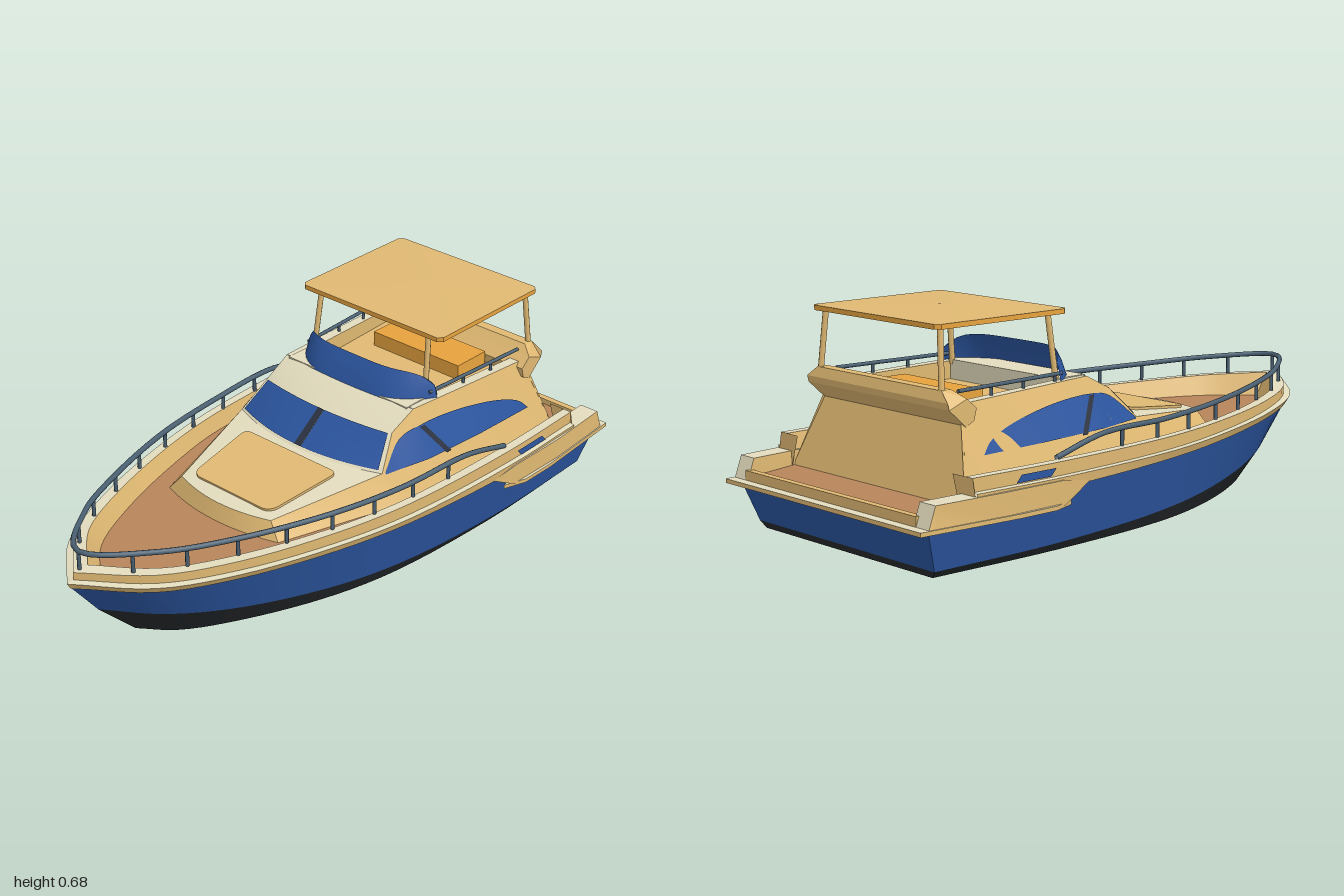
import * as THREE from 'three';
import { toCreasedNormals } from 'three/addons/utils/BufferGeometryUtils.js';

const V = (x, y, z) => new THREE.Vector3(x, y, z);
const paint = (name, color) => new THREE.MeshStandardMaterial({ name, color, side: THREE.DoubleSide });
const lerp = THREE.MathUtils.lerp;

export function createModel() {
  const model = new THREE.Group();
  model.name = 'motorYacht';
  const blue = paint('blue', 0x2b559f), black = paint('bootBlack', 0x24282b);
  const tan = paint('tan', 0xdfb872), cream = paint('cream', 0xe2dbbd);
  const teak = paint('teak', 0xb7845a), orange = paint('orange', 0xe6a23e);
  const steel = paint('railSteel', 0x4a6072), dark = paint('charcoal', 0x2b3140);

  const add = (name, mat, geo) => {
    const m = new THREE.Mesh(geo, mat);
    m.name = name;
    model.add(m);
    return m;
  };
  // Surface through rows of points
  const grid = (name, mat, rows) => {
    const n = rows[0].length, idx = [];
    for (let r = 0; r < rows.length - 1; r++)
      for (let c = 0; c < n - 1; c++) {
        const a = r * n + c, b = a + n;
        idx.push(a, b, a + 1, a + 1, b, b + 1);
      }
    const g = new THREE.BufferGeometry().setFromPoints(rows.flat());
    g.setIndex(idx);
    return add(name, mat, toCreasedNormals(g, 0.45));
  };
  const flip = p => V(-p.x, p.y, p.z);
  const pair = (name, mat, rows) => {
    grid(name + 'Left', mat, rows);
    grid(name + 'Right', mat, rows.map(r => r.map(flip).reverse()));
  };
  const line = pts => new THREE.CatmullRomCurve3(pts.map(p => V(...p))).getPoints(30);
  const rod = (name, mat, a, b, r) => {
    const d = b.clone().sub(a), m = add(name, mat, new THREE.CylinderGeometry(r, r, d.length(), 8));
    m.position.copy(a).addScaledVector(d, 0.5);
    m.quaternion.setFromUnitVectors(V(0, 1, 0), d.normalize());
  };
  const box = (name, mat, w, h, d, x, y, z) =>
    add(name, mat, new THREE.BoxGeometry(w, h, d)).position.set(x, y, z);

  // Hull lines from bow to stern, left side
  const keel = line([[0, 0, .75], [.1, 0, .67], [.2, 0, .51], [.31, 0, .25], [.37, 0, 0], [.4, 0, -.45], [.39, 0, -.9]]);
  const boot = line([[0, .14, .89], [.13, .118, .76], [.235, .09, .57], [.335, .06, .28], [.392, .042, 0], [.421, .027, -.45], [.41, .022, -.91]]);
  const sheer = line([[0, .262, .985], [.17, .245, .82], [.28, .232, .6], [.38, .22, .28], [.43, .21, 0], [.46, .2, -.45], [.44, .15, -.955]]);
  const low = line([[0, .262, .987], [.175, .245, .82], [.285, .232, .6], [.385, .22, .28], [.435, .21, 0], [.465, .2, -.45], [.46, .2, -.8]]);
  const rub = line([[0, .283, 1], [.185, .268, .83], [.3, .255, .6], [.395, .243, .28], [.445, .235, 0], [.468, .23, -.45], [.462, .23, -.8]]);
  const top = line([[0, .31, .975], [.172, .298, .81], [.283, .288, .59], [.378, .28, .28], [.428, .275, 0], [.452, .272, -.45], [.445, .272, -.8]]);
  const inner = line([[0, .31, .92], [.15, .298, .78], [.255, .288, .57], [.35, .28, .27], [.4, .275, 0], [.42, .272, -.45], [.415, .272, -.8]]);
  const deckPts = [[0, .235, .87], [.135, .232, .75], [.235, .23, .55], [.33, .225, .26], [.385, .22, 0], [.4, .2, -.45]];
  const deck = line([...deckPts, [.39, .165, -.96]]);
  const foot = line([...deckPts, [.397, .178, -.8]]);
  const ledge = top.map((p, i) => V(p.x, rub[i].y + .002, p.z));
  const end = a => a[a.length - 1];

  pair('bootStripe', black, [keel, boot]);
  pair('hullSide', blue, [boot, sheer]);
  grid('transomBoot', black, [[end(keel), flip(end(keel))], [end(boot), flip(end(boot))]]);
  grid('transom', blue, [[end(boot), flip(end(boot))], [end(sheer), flip(end(sheer))]]);
  pair('bulwark', tan, [low, rub]);
  pair('rubLedge', cream, [rub, ledge]);
  pair('bulwarkUpper', tan, [ledge, top]);
  pair('gunwale', cream, [top, inner]);
  pair('bulwarkInside', tan, [inner, foot]);
  pair('bulwarkEnd', tan, [[end(top), V(.36, .272, -.8)], [end(low), V(.39, .175, -.8)]]);
  grid('deck', teak, [deck, deck.map(flip)]);

  // Stern quarters, strake and sill
  const qz = [-.38, -.48, -.7, -.94, -.965];
  const run = (xs, ys) => qz.map((z, i) => V(xs[i], ys[i], z));
  const qBot = run([.463, .472, .474, .458, .456], [.2, .148, .148, .148, .15]);
  const qTop = run([.463, .472, .472, .455, .455], [.205, .222, .222, .22, .152]);
  const qIn = run([.41, .405, .4, .388, .388], [.205, .222, .222, .22, .152]);
  const qDeck = run([.41, .4, .397, .388, .388], [.2, .19, .18, .16, .15]);
  pair('quarterSide', tan, [qBot, qTop]);
  pair('quarterTop', cream, [qTop, qIn]);
  pair('quarterInside', tan, [qIn, qDeck]);

  const strake = new THREE.Shape([[.455, -.44], [.482, -.52], [.482, -.65], [.458, -.995], [-.458, -.995], [-.482, -.65], [-.482, -.52], [-.455, -.44],
    [-.44, -.5], [-.43, -.94], [.43, -.94], [.44, -.5]].map(p => new THREE.Vector2(...p)));
  const strakeGeo = new THREE.ExtrudeGeometry(strake, { depth: .013, bevelEnabled: false });
  add('strake', [cream, tan], strakeGeo.rotateX(Math.PI / 2).translate(0, .155, 0));
  box('sternSill', tan, .8, .033, .022, 0, .168, -.953);

  // Cabin stations: edge z, forward bow of the centre, base half width, top half width, top y, base y
  const S = [[.36, .035, .235, .19, .28, .225], [-.02, .063, .35, .3, .32, .218], [-.105, .025, .372, .264, .415, .213],
    [-.2, .02, .385, .268, .462, .209], [-.45, 0, .4, .285, .455, .198], [-.72, 0, .4, .3, .447, .177]];
  const station = (i, v) => S[i].map((a, k) => lerp(a, S[Math.min(i + 1, 5)][k], v));
  const roof = (i, v, s) => {
    const [z, dz, , w, y] = station(i, v);
    return V(w * s, y, z + dz * (1 - s * s));
  };
  const wall = (z, y, out) => {
    let i = 0;
    while (i < 4 && z < S[i + 1][0]) i++;
    const [, , wb, wt, yt, yb] = station(i, (z - S[i][0]) / (S[i + 1][0] - S[i][0]));
    return V(lerp(wb, wt, (y - yb) / (yt - yb)) + out, y, z);
  };
  const span = (a, b, n) => Array.from({ length: n + 1 }, (_, i) => lerp(a, b, i / n));
  const across = span(-1, 1, 12);
  grid('cabinRoof', cream, [0, 1, 2, 3].map(i => across.map(s => roof(i, 0, s))));
  grid('cabinFront', tan, [across.map(s => roof(0, 0, s)),
    across.map(s => V(s * .235, .225, .375 + .04 * (1 - s * s)))]);
  pair('cabinSide', tan, [S.map(([z, , wb, , , yb], i) => V(wb, yb, i === 5 ? -.79 : i === 0 ? .375 : z)),
    S.map((s, i) => roof(i, 0, 1))]);
  grid('cabinBack', tan, [[V(-.4, .177, -.79), V(.4, .177, -.79)], [V(-.318, .4, -.722), V(.318, .4, -.722)]]);

  // Windscreen panes and centre post
  const screen = (name, mat, a, b, lift) => grid(name, mat, span(.06, .96, 4).map(v =>
    span(a, b, 6).map(s => roof(1, v, s).add(V(0, lift, lift)))));
  screen('windscreenLeft', blue, .04, .96, .003);
  screen('windscreenRight', blue, -.96, -.04, .003);
  screen('windscreenPost', dark, -.045, .045, .005);

  // Arched side windows with a slanted post
  const arch = new THREE.CatmullRomCurve3([[-.03, .322], [-.12, .396], [-.2, .413], [-.4, .402], [-.58, .365], [-.65, .335], [-.68, .306]]
    .map(([z, y]) => V(0, y, z))).getPoints(24);
  pair('sideWindow', blue, span(0, 1, 4).map(t => arch.map(p =>
    wall(p.z, lerp(lerp(.305, .316, (p.z + .68) / .65), p.y, t), .004))));
  pair('sideWindowPost', dark, span(0, 1, 4).map(t =>
    [0, .022].map(d => wall(lerp(-.295, -.22, t) + d, lerp(.307, .41, t), .007))));
  pair('hullWindow', blue, [[V(.458, .236, -.52), V(.456, .236, -.65)], [V(.458, .258, -.5), V(.456, .258, -.63)]]);

  // Sun pad on the foredeck
  const pad = new THREE.Shape();
  pad.moveTo(-.17, .07).lineTo(.17, .07).quadraticCurveTo(.195, .07, .192, .1).lineTo(.168, .31)
    .quadraticCurveTo(.16, .34, .13, .342).lineTo(-.13, .342).quadraticCurveTo(-.16, .34, -.168, .31)
    .lineTo(-.192, .1).quadraticCurveTo(-.195, .07, -.17, .07);
  const padMesh = add('sunPad', tan, new THREE.ExtrudeGeometry(pad, { depth: .009, bevelEnabled: false }).rotateX(Math.PI / 2));
  padMesh.rotation.x = .112;
  padMesh.position.y = .33;

  // Flybridge well, dash, seat and aft coaming
  const rim = [3, 4, 5].map(i => roof(i, 0, 1));
  const rimIn = rim.map(p => V(p.x - .035, p.y, p.z));
  pair('coamingTop', cream, [rim, rimIn]);
  pair('coamingInside', tan, [rimIn, rimIn.map(p => V(p.x, .4, p.z))]);
  grid('bridgeFloor', tan, [[V(-.265, .402, -.2), V(.265, .402, -.2)], [V(-.265, .402, -.73), V(.265, .402, -.73)]]);
  box('dash', cream, .5, .066, .11, 0, .431, -.245);
  box('bridgeSeat', orange, .36, .05, .14, 0, .427, -.6);
  const aft = new THREE.Shape([[.68, .435], [.715, .465], [.74, .49], [.775, .49], [.785, .46], [.78, .44], [.72, .385], [.69, .4]]
    .map(p => new THREE.Vector2(...p)));
  const aftGeo = new THREE.ExtrudeGeometry(aft, { depth: .65, bevelEnabled: false }).rotateY(Math.PI / 2).translate(-.325, 0, 0);
  const ap = aftGeo.attributes.position;
  for (let i = 0; i < ap.count; i++) if (ap.getY(i) > .48) ap.setX(i, ap.getX(i) * .88);
  aftGeo.computeVertexNormals();
  add('aftCoaming', tan, aftGeo);

  // Wrapped flybridge windscreen
  const hoop = (w, y, z, back, drop) => span(-1, 1, 24).map(s =>
    V(w * s, y - drop * s ** 10, z - back * s ** 4));
  grid('bridgeWindscreen', blue, [hoop(.272, .46, -.18, .13, 0), hoop(.263, .505, -.2, .11, .006), hoop(.25, .546, -.23, .075, .035)]);

  // Canopy with crowned top on four poles
  const c = new THREE.Shape([[-.29, -.31], [-.275, -.295], [.275, -.295], [.29, -.31], [.29, -.775], [.275, -.79], [-.275, -.79], [-.29, -.775]]
    .map(p => new THREE.Vector2(...p)));
  add('canopy', [tan, orange], new THREE.ExtrudeGeometry(c, { depth: .015, bevelEnabled: false })
    .rotateX(Math.PI / 2).translate(0, .676, 0));
  grid('canopyTop', tan, span(-1, 1, 8).map(u => span(-1, 1, 8).map(s =>
    V(s * .284, .6765 + .007 * (1 - Math.max(Math.abs(s), Math.abs(u))), -.5425 + u * .242))));
  for (const k of [1, -1]) {
    rod('frontPole', tan, V(k * .236, .45, -.295), V(k * .224, .665, -.318), .009);
    rod('rearPole', tan, V(k * .282, .45, -.77), V(k * .262, .665, -.757), .009);
    // Flybridge side rail
    rod('bridgeRail', steel, V(k * .256, .48, -.29), V(k * .28, .48, -.71), .006);
    for (const z of [-.32, -.45, -.58])
      rod('bridgeRailPost', steel, V(k * (.239 - z * .057), .448, z), V(k * (.239 - z * .057), .48, z), .005);
  }

  // Deck rail with posts
  const half = [[.155, .36, .79], [.257, .348, .58], [.355, .336, .28], [.403, .326, 0], [.42, .322, -.28], [.425, .278, -.47]].map(p => V(...p));
  const railCurve = new THREE.CatmullRomCurve3([...half.map(flip).reverse(), V(0, .37, .95), ...half]);
  add('deckRail', steel, new THREE.TubeGeometry(railCurve, 90, .0085, 8));
  for (let i = 0; i <= 16; i++) {
    const p = railCurve.getPointAt(.09 + .82 * i / 16);
    rod('deckRailPost', steel, V(p.x, .272 + .035 * Math.max(0, p.z), p.z), p, .006);
  }
  return model;
}
